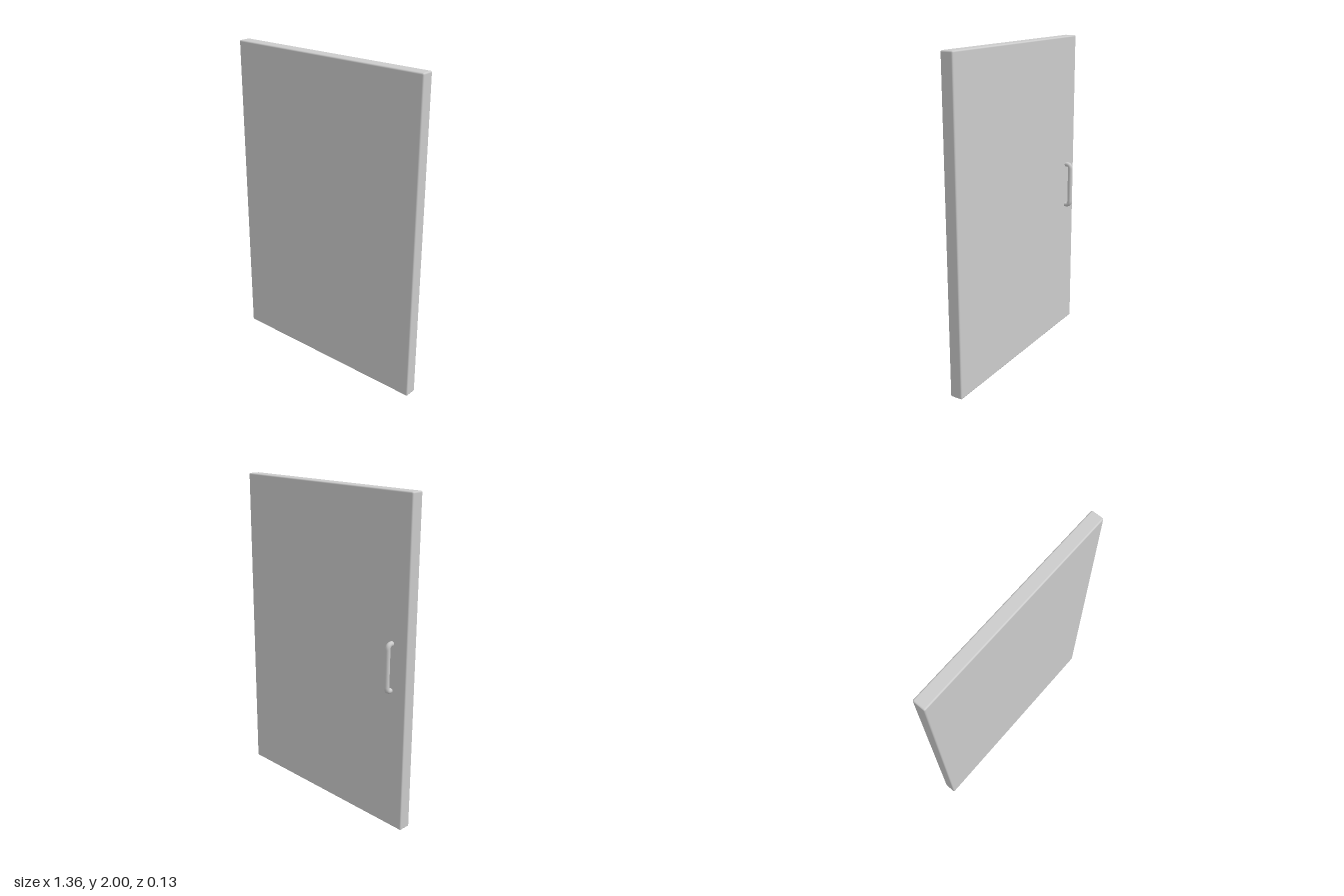
import * as THREE from 'three';
import { RoundedBoxGeometry } from 'three/addons/geometries/RoundedBoxGeometry.js';

export function createModel() {
  const group = new THREE.Group();
  const material = new THREE.MeshStandardMaterial({ color: 0xcccccc });

  // Door slab with softly rounded edges
  const panel = new THREE.Mesh(new RoundedBoxGeometry(1.36, 2, 0.08, 3, 0.009), material);
  panel.name = 'doorPanel';
  panel.position.set(0, 1, 0.025);
  group.add(panel);

  // Pull handle: a bent round bar on the back, its ends sunk into the slab
  const x = -0.57, top = 1.155, bottom = 0.873, root = -0.008, out = -0.05, bend = 0.028;
  const p = (y, z) => new THREE.Vector3(x, y, z);
  const path = new THREE.CurvePath();
  path.add(new THREE.LineCurve3(p(top, root), p(top, out + bend)));
  path.add(new THREE.QuadraticBezierCurve3(p(top, out + bend), p(top, out), p(top - bend, out)));
  path.add(new THREE.LineCurve3(p(top - bend, out), p(bottom + bend, out)));
  path.add(new THREE.QuadraticBezierCurve3(p(bottom + bend, out), p(bottom, out), p(bottom, out + bend)));
  path.add(new THREE.LineCurve3(p(bottom, out + bend), p(bottom, root)));

  const handle = new THREE.Mesh(new THREE.TubeGeometry(path, 80, 0.0155, 16), material);
  handle.name = 'pullHandle';
  group.add(handle);

  return group;
}
